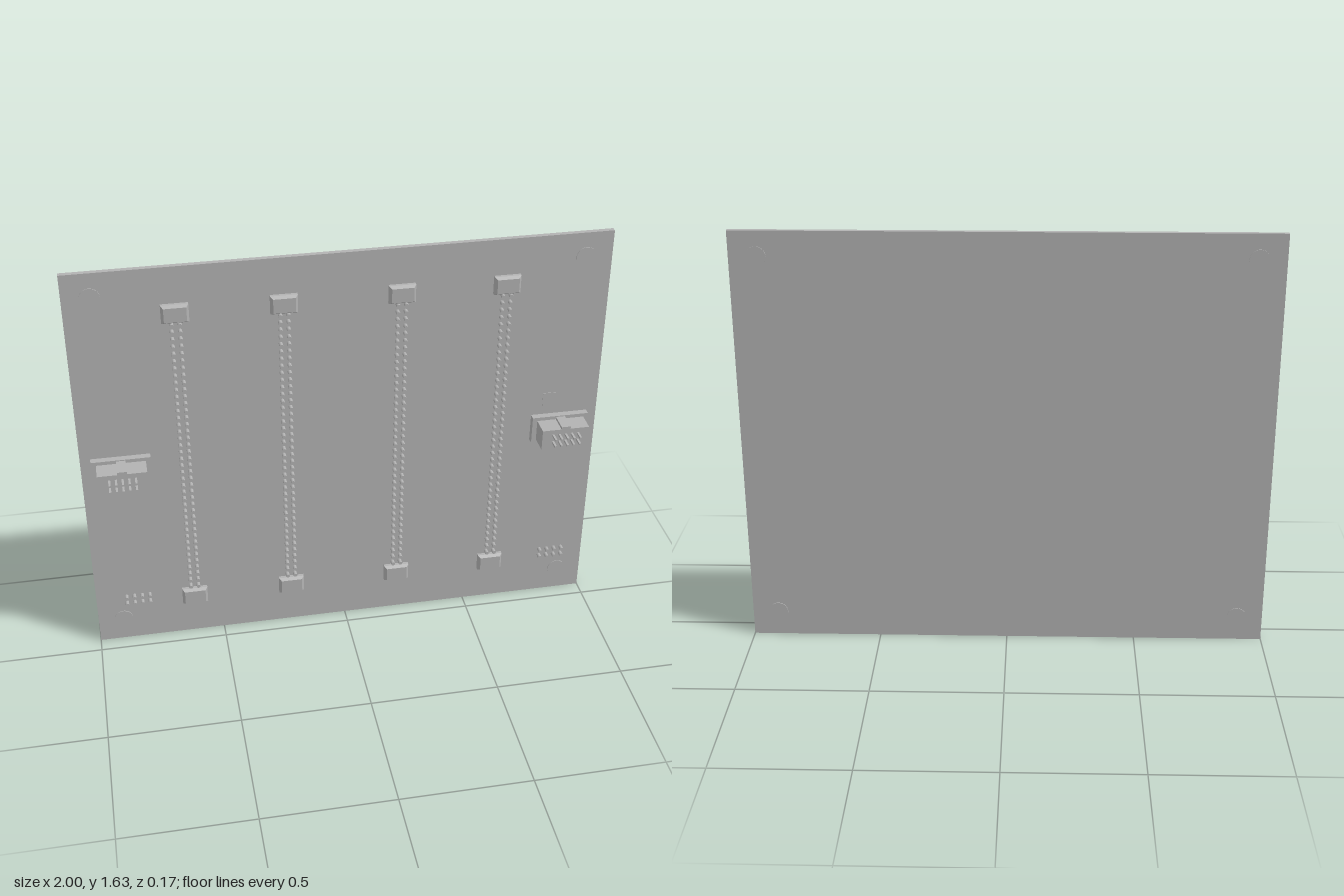
import * as THREE from 'three';

const BOARD_FRONT = -0.061, BOARD_BACK = -0.08, HEIGHT = 1.635;

export function createModel() {
  const grey = new THREE.MeshStandardMaterial({ color: 0xb2b2b2 });
  grey.name = 'plainGrey';
  const model = new THREE.Group();
  model.name = 'backplaneBoard';

  const add = (parent, name, geometry, x, y, z) => {
    const mesh = new THREE.Mesh(geometry, grey);
    mesh.name = name;
    mesh.position.set(x, y, z);
    parent.add(mesh);
    return mesh;
  };
  // Box given by its centre in x and y and its range in z
  const block = (parent, name, x, y, w, h, z0, z1) =>
    add(parent, name, new THREE.BoxGeometry(w, h, z1 - z0), x, y, (z0 + z1) / 2);

  // Circuit board
  block(model, 'board', 0, HEIGHT / 2, 2, HEIGHT, BOARD_BACK, BOARD_FRONT);

  // Open sleeves of the mounting holes, just proud of both faces
  const sleeve = new THREE.CylinderGeometry(0.037, 0.037, 0.025, 32, 1, true).rotateX(Math.PI / 2);
  for (const x of [-0.9, 0.9])
    for (const y of [0.1, 1.54]) add(model, 'mountingSleeve', sleeve, x, y, -0.0705);

  // Short round contact pins
  const pin = new THREE.CylinderGeometry(0.0075, 0.0075, 0.024, 10).rotateX(Math.PI / 2);
  const pinGrid = (name, cx, cy, columns, rows, pitch) => {
    const grid = new THREE.Group();
    grid.name = name;
    for (let i = 0; i < columns; i++)
      for (let j = 0; j < rows; j++)
        add(grid, 'contactPin', pin,
          cx + (i - (columns - 1) / 2) * pitch, cy + (j - (rows - 1) / 2) * pitch, -0.051);
    model.add(grid);
  };

  // End block with a tapered front
  const endBlock = new THREE.BoxGeometry(0.1, 0.072, 0.024, 1, 1, 2).toNonIndexed();
  const p = endBlock.attributes.position;
  for (let i = 0; i < p.count; i++)
    if (p.getZ(i) > 0.01) p.setXY(i, p.getX(i) * 0.82, p.getY(i) * 0.78);
  endBlock.computeVertexNormals();

  // Four bus slots: two columns of pins between end blocks
  for (const x of [-0.61, -0.22, 0.212, 0.605]) {
    pinGrid('slotPins', x, 0.823, 2, 40, 0.0302);
    for (const y of [0.184, 1.456]) add(model, 'slotEndBlock', endBlock, x, y, -0.049);
  }

  // Small pin groups near the lower corners
  pinGrid('leftPinGroup', 0.865, 0.195, 4, 2, 0.0305);
  pinGrid('rightPinGroup', -0.835, 0.195, 4, 2, 0.0305);

  // Box headers at the sides
  for (const x of [-0.85, 0.848]) {
    const header = new THREE.Group();
    header.name = 'boxHeader';
    header.position.set(x, 0.82, 0);
    block(header, 'headerFlange', 0, 0, 0.222, 0.112, -0.057, -0.031);
    block(header, 'headerBody', 0, 0, 0.185, 0.084, -0.031, 0.045);
    block(header, 'headerKey', 0, 0.0465, 0.036, 0.011, -0.031, 0.045);
    for (let i = -2; i <= 2; i++)
      for (const y of [-0.0145, 0.0145])
        block(header, 'headerPin', i * 0.0245, y + 0.004, 0.008, 0.008, BOARD_FRONT, 0.083);
    model.add(header);
  }

  // Thin pad above the left header
  block(model, 'thinPad', 0.805, 0.93, 0.05, 0.075, BOARD_FRONT, BOARD_FRONT + 0.002);

  return model;
}
